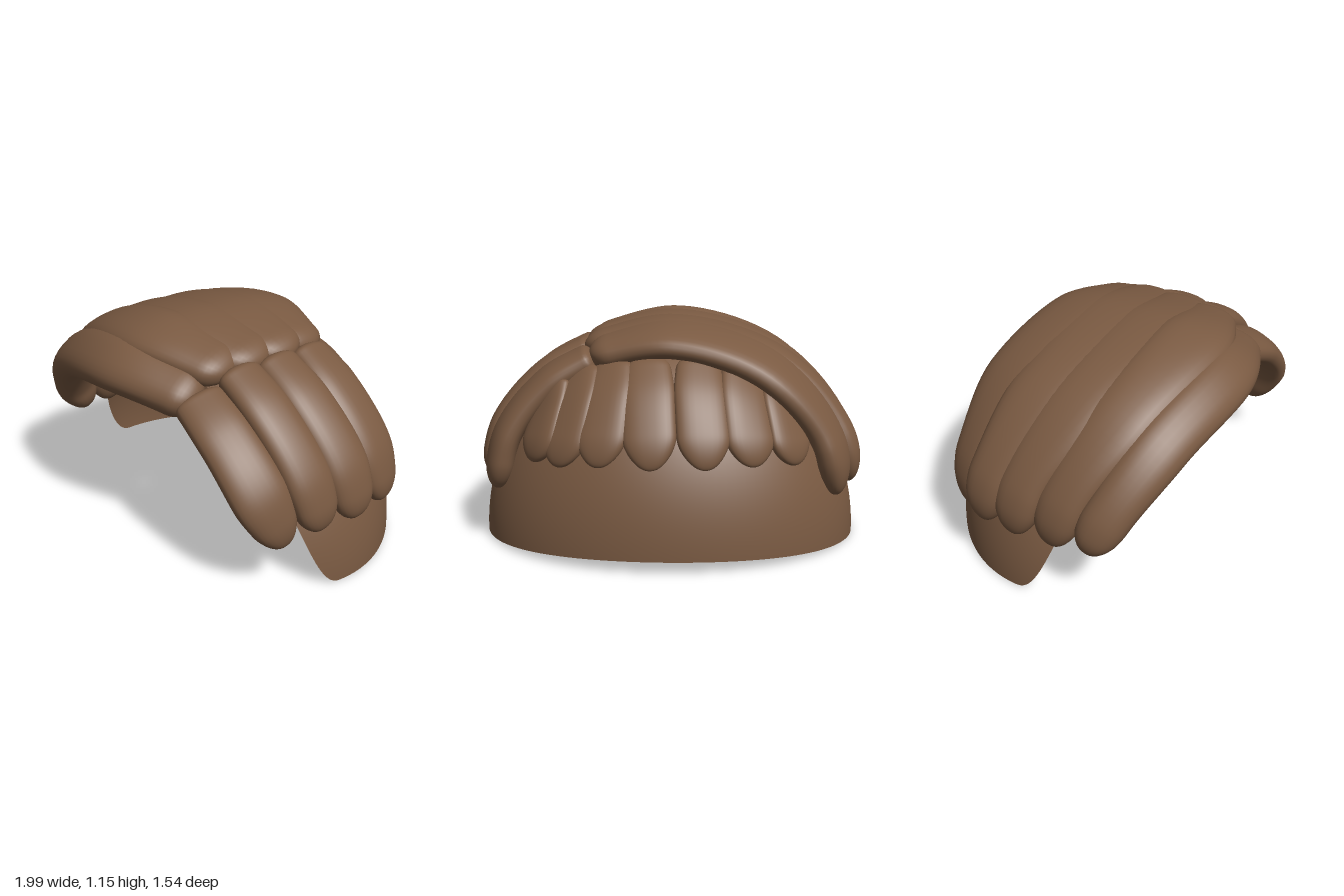
import * as THREE from 'three';

const brown = new THREE.MeshStandardMaterial({ color: 0x7a5a42, side: THREE.DoubleSide });
brown.name = 'brown hair';

// Grid of points to a smooth surface; wrap closes the rows into rings
function surface(rows, wrap) {
  const n = rows[0].length, pos = [], idx = [];
  rows.forEach(r => r.forEach(p => pos.push(p.x, p.y, p.z)));
  for (let i = 0; i < rows.length - 1; i++) {
    for (let j = 0; j < (wrap ? n : n - 1); j++) {
      const k = (j + 1) % n;
      const a = i * n + j, b = (i + 1) * n + j, c = (i + 1) * n + k, d = i * n + k;
      idx.push(a, b, d, b, c, d);
    }
  }
  const g = new THREE.BufferGeometry();
  g.setAttribute('position', new THREE.Float32BufferAttribute(pos, 3));
  g.setIndex(idx);
  g.computeVertexNormals();
  return g;
}

// Outward direction of the head at a point: flat on top, turning over at front and back
function outward(p) {
  const nz = 2.5 * p.z ** 3 + 0.9 * Math.min(0, p.z + 0.07);
  return new THREE.Vector3(p.x, Math.max(0.02, (p.y - 0.28) * 1.2), nz).normalize();
}

const round = s => Math.sqrt(Math.max(0, 1 - (1 - Math.min(1, s)) ** 2));

// Flattened tapering strand; each point is [x, y, z, half width]
function lock(name, points, thick, startLen = 0.06, endLen = 0.16) {
  const curve = new THREE.CatmullRomCurve3(points.map(p => new THREE.Vector3(p[0], p[1], p[2])));
  const rows = [], steps = 56, sides = 28;
  for (let i = 0; i <= steps; i++) {
    const t = (1 - Math.cos(Math.PI * i / steps)) / 2;
    const c = curve.getPoint(t), T = curve.getTangent(t);
    const N = outward(c);
    N.addScaledVector(T, -N.dot(T)).normalize();
    const S = new THREE.Vector3().crossVectors(T, N);
    const f = t * (points.length - 1), k = Math.min(points.length - 2, Math.floor(f));
    const w = THREE.MathUtils.lerp(points[k][3], points[k + 1][3], THREE.MathUtils.smoothstep(f - k, 0, 1));
    const e = Math.max(0.004, round(t / startLen) * round((1 - t) / endLen));
    const row = [];
    for (let j = 0; j < sides; j++) {
      const a = j / sides * Math.PI * 2, cs = Math.cos(a), sn = Math.sin(a);
      row.push(c.clone()
        .addScaledVector(S, w * e * Math.sign(cs) * Math.abs(cs) ** 0.85)
        .addScaledVector(N, thick * e * Math.sign(sn) * Math.abs(sn) ** 0.85));
    }
    rows.push(row);
  }
  const m = new THREE.Mesh(surface(rows, true), brown);
  m.name = name;
  return m;
}

// Point on the arch over the head, angle in degrees from the left side
function arch(deg, z, w, rise, spread) {
  const a = deg * Math.PI / 180;
  return [0.93 * spread * Math.cos(a), 0.3 + 0.775 * rise * Math.sin(a), z, w];
}

// Open scalp shell covering the back and sides
function scalp() {
  const rows = [], up = 48, around = 72;
  for (let i = 0; i <= up; i++) {
    const e = (i / up) ** 1.8 * Math.PI / 2, r = Math.max(0.001, Math.cos(e)), s = Math.sin(e);
    const front = 0.04 + 0.34 * s ** 0.45;
    const A = Math.acos(Math.max(-1, -front / (0.77 * r)));
    const row = [];
    for (let j = 0; j <= around; j++) {
      const phi = A * (1 - 2 * j / around);
      const y0 = 0.065 * Math.max(0, Math.cos(phi)) ** 2;
      row.push(new THREE.Vector3(0.985 * r * Math.sin(phi), y0 + (1.05 - y0) * s, -0.77 * r * Math.cos(phi)));
    }
    rows.push(row);
  }
  const m = new THREE.Mesh(surface(rows, false), brown);
  m.name = 'scalp';
  return m;
}

export function createModel() {
  const model = new THREE.Group();
  model.name = 'hair';
  model.add(scalp());

  // Long strands combed from the parting over the top to the right:
  // z and half width at parting, crown, shoulder, side and tip; then rise and spread
  const long = [
    { z: [0.46, 0.63, 0.59, 0.48, 0.40], w: [0.13, 0.145, 0.14, 0.12, 0.09], rise: 0.83, spread: 0.935, tip: 178, thick: 0.095 },
    { z: [0.29, 0.43, 0.39, 0.27, 0.21], w: [0.14, 0.19, 0.17, 0.13, 0.11], rise: 0.975, spread: 0.975, tip: 180, thick: 0.08 },
    { z: [0.12, 0.22, 0.17, 0.05, 0.01], w: [0.15, 0.24, 0.19, 0.13, 0.11], rise: 0.99, spread: 1.015, tip: 180, thick: 0.075 },
    { z: [-0.05, 0.00, -0.03, -0.14, -0.18], w: [0.15, 0.25, 0.20, 0.13, 0.11], rise: 0.985, spread: 1.015, tip: 180, thick: 0.075 },
    { z: [-0.20, -0.20, -0.26, -0.31, -0.34], w: [0.15, 0.225, 0.21, 0.15, 0.11], rise: 0.965, spread: 0.925, tip: 182, thick: 0.075 },
  ];
  long.forEach((l, i) => model.add(lock('longLock' + (i + 1),
    [62, 92, 128, 160, l.tip].map((a, k) => arch(a, l.z[k], l.w[k], l.rise, l.spread)), l.thick)));

  // Short strands falling from the parting to the left
  const short = [
    { z: [0.46, 0.46, 0.42, 0.31], w: [0.13, 0.14, 0.145, 0.10], rise: 0.82, spread: 0.95, tip: -4 },
    { z: [0.25, 0.23, 0.18, 0.13], w: [0.12, 0.13, 0.13, 0.11], rise: 0.95, spread: 1, tip: 0 },
    { z: [0.03, 0.01, -0.04, -0.08], w: [0.12, 0.13, 0.13, 0.11], rise: 0.96, spread: 1.015, tip: 0 },
    { z: [-0.2, -0.22, -0.27, -0.31], w: [0.12, 0.14, 0.14, 0.11], rise: 0.94, spread: 0.95, tip: -1 },
  ];
  short.forEach((l, i) => model.add(lock('leftLock' + (i + 1),
    [65, 46, 22, l.tip].map((a, k) => arch(a, l.z[k], l.w[k], l.rise, l.spread)), 0.07)));

  // Back strands lying on the scalp: x at top, x at tip, top y, tip y
  const back = [
    [-0.54, -0.63, 0.84, 0.47], [-0.36, -0.42, 0.92, 0.49], [-0.15, -0.19, 0.97, 0.49], [0.1, 0.07, 0.97, 0.49],
    [0.27, 0.33, 0.95, 0.49], [0.42, 0.53, 0.91, 0.47], [0.56, 0.66, 0.85, 0.47],
  ];
  back.forEach(([x0, x1, y0, y1], i) => {
    const pts = [0, 0.33, 0.67, 1].map((t, k) => {
      const x = THREE.MathUtils.lerp(x0, x1, t), y = THREE.MathUtils.lerp(y0, y1, t);
      const q = 1 - (x / 0.98) ** 2 - ((y - 0.06) / 1.0) ** 2;
      return [x, y, -0.765 * Math.sqrt(Math.max(0.1, q)), [0.11, 0.13, 0.13, 0.11][k]];
    });
    model.add(lock('backLock' + (i + 1), pts, 0.045, 0.12, 0.3));
  });

  return model;
}
